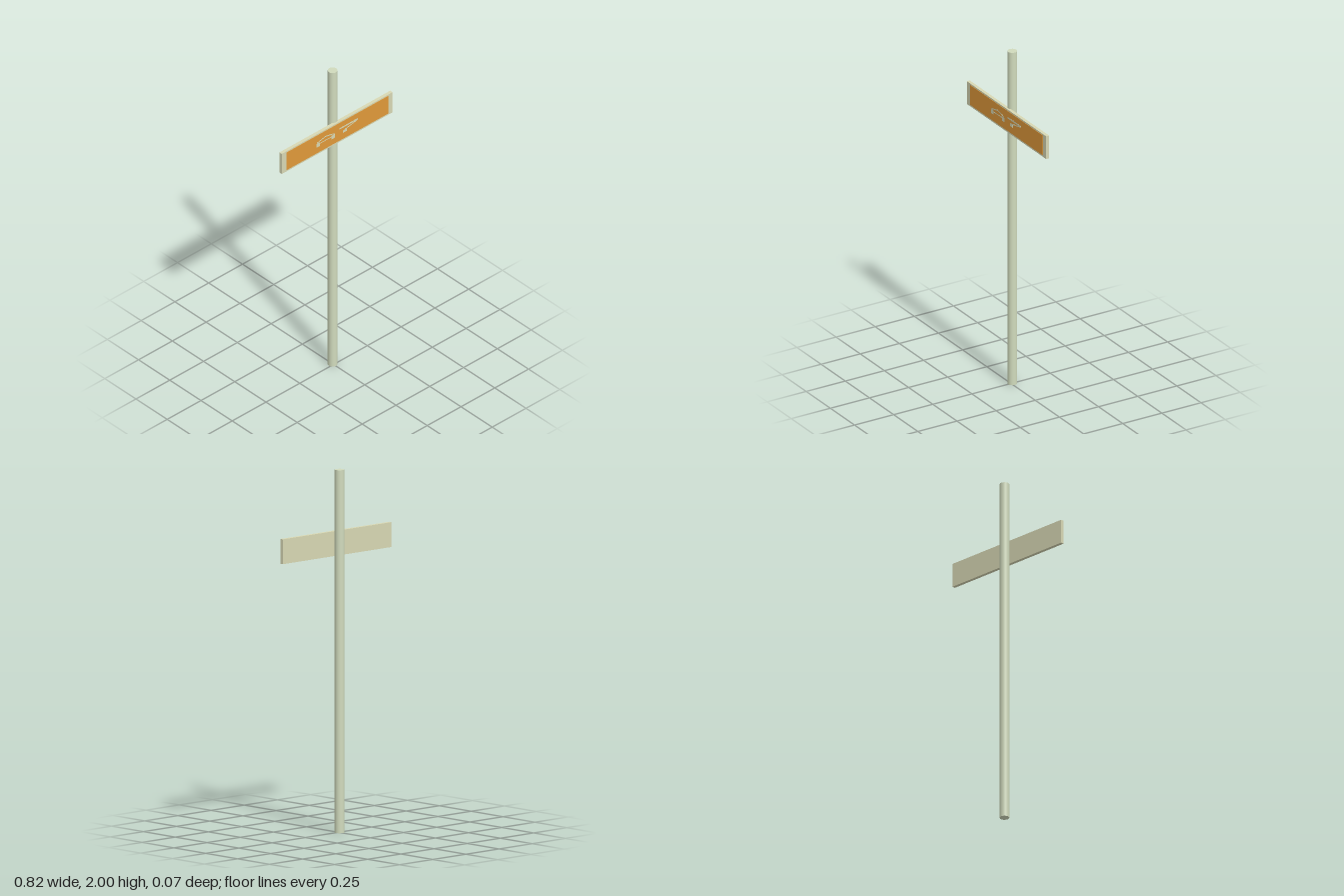
import * as THREE from 'three';

const paint = (color) => new THREE.MeshStandardMaterial({ color });

export function createModel() {
  const model = new THREE.Group();
  const postMat = paint(0xd0dabc);
  const boardMat = paint(0xd8d8b4);
  const panelMat = paint(0xe09a3a);

  function box(name, mat, w, h, d, x, y, z, parent = model, tilt = 0) {
    const mesh = new THREE.Mesh(new THREE.BoxGeometry(w, h, d), mat);
    mesh.name = name;
    mesh.position.set(x, y, z);
    mesh.rotation.z = tilt;
    parent.add(mesh);
  }

  // Round post, set slightly behind the board
  const post = new THREE.Mesh(new THREE.CylinderGeometry(0.0265, 0.0265, 2, 32), postMat);
  post.name = 'post';
  post.position.set(0, 1, -0.008);
  model.add(post);

  // Sign board with a thin coloured panel on its front
  box('signBoard', boardMat, 0.82, 0.137, 0.019, 0, 1.592, 0.0195);
  box('signPanel', panelMat, 0.752, 0.119, 0.002, 0, 1.593, 0.03);

  // Thin raised symbols: [x, y, width, height, tilt]
  function symbol(name, strips) {
    const group = new THREE.Group();
    group.name = name;
    for (const [x, y, w, h, tilt] of strips) {
      box('symbolStrip', boardMat, w, h, 0.001, x, y, 0.031, group, tilt);
    }
    model.add(group);
  }
  symbol('leftSymbol', [
    [-0.118, 1.609, 0.07, 0.006, 0.22],
    [-0.055, 1.609, 0.07, 0.006, -0.22],
    [-0.085, 1.59, 0.12, 0.005, 0],
    [-0.142, 1.585, 0.026, 0.025, 0],
    [-0.03, 1.585, 0.026, 0.025, 0],
  ]);
  symbol('rightSymbol', [
    [0.083, 1.614, 0.135, 0.009, 0],
    [0.1, 1.6, 0.1, 0.006, 0.2],
    [0.055, 1.582, 0.027, 0.016, 0],
  ]);

  return model;
}
